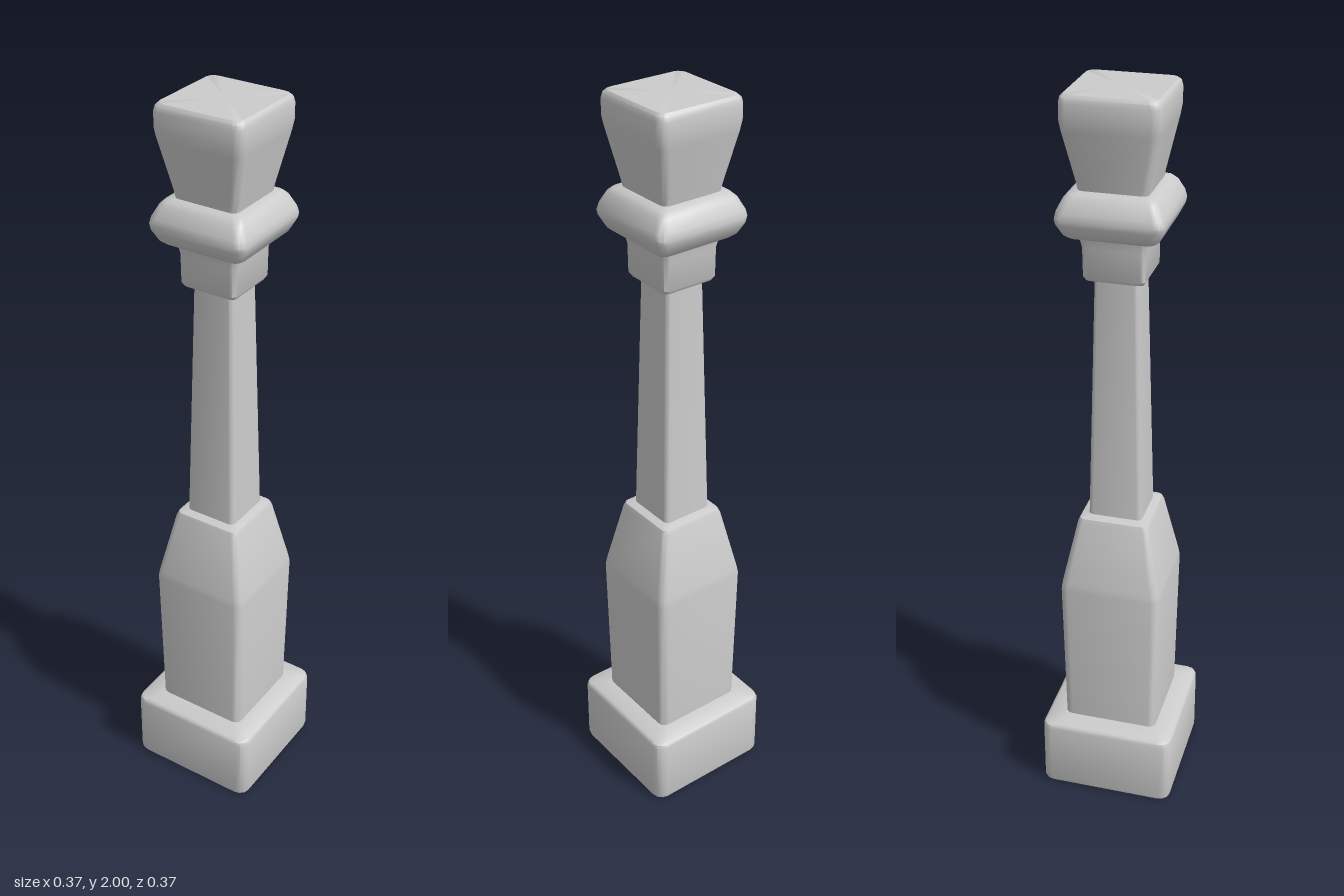
import * as THREE from 'three';
import { toCreasedNormals } from 'three/addons/utils/BufferGeometryUtils.js';

const material = new THREE.MeshStandardMaterial({ color: 0xcccccc });
const STEPS = 3; // facets per rounded corner

// Outline of a rounded square: half width h, corner radius r
function outline(h, r) {
  const points = [];
  for (let corner = 0; corner < 4; corner++) {
    const mid = (corner + 0.5) * Math.PI / 2;
    const cx = Math.sign(Math.cos(mid)) * (h - r);
    const cz = Math.sign(Math.sin(mid)) * (h - r);
    for (let s = 0; s <= STEPS; s++) {
      const a = (corner + s / STEPS) * Math.PI / 2;
      points.push([cx + r * Math.cos(a), cz + r * Math.sin(a)]);
    }
  }
  return points;
}

// Stack rounded squares along y; profile rows are [half width, height]
function squareTurned(name, profile, round) {
  const positions = [], index = [];
  const n = 4 * (STEPS + 1);
  for (const [h, y] of profile) {
    for (const [x, z] of outline(h, h * round)) positions.push(x, y, z);
  }
  for (let i = 0; i < profile.length - 1; i++) {
    for (let j = 0; j < n; j++) {
      const a = i * n + j, b = i * n + (j + 1) % n;
      index.push(a, a + n, b, b, a + n, b + n);
    }
  }
  // end caps
  const last = profile.length - 1;
  const bottom = positions.length / 3, top = bottom + 1;
  positions.push(0, profile[0][1], 0, 0, profile[last][1], 0);
  for (let j = 0; j < n; j++) {
    const k = (j + 1) % n;
    index.push(bottom, j, k, top, last * n + k, last * n + j);
  }
  const geometry = new THREE.BufferGeometry();
  geometry.setAttribute('position', new THREE.Float32BufferAttribute(positions, 3));
  geometry.setIndex(index);
  const mesh = new THREE.Mesh(toCreasedNormals(geometry, 0.65), material);
  mesh.name = name;
  return mesh;
}

export function createModel() {
  const group = new THREE.Group();
  group.name = 'baluster';
  group.add(
    squareTurned('plinth', [
      [0.179, 0], [0.185, 0.004], [0.187, 0.012], [0.187, 0.194],
      [0.184, 0.203], [0.177, 0.208], [0.128, 0.218],
    ], 0.16),
    squareTurned('lowerBlock', [
      [0.131, 0.2], [0.138, 0.645], [0.135, 0.665], [0.098, 0.845],
      [0.093, 0.857], [0.07, 0.865],
    ], 0.16),
    squareTurned('taperedShaft', [[0.073, 0.85], [0.056, 1.54]], 0.18),
    squareTurned('neck', [
      [0.055, 1.53], [0.074, 1.535], [0.08, 1.545], [0.081, 1.62], [0.088, 1.655],
    ], 0.18),
    squareTurned('collar', [
      [0.08, 1.645], [0.108, 1.653], [0.119, 1.662], [0.134, 1.692],
      [0.136, 1.705], [0.132, 1.722], [0.117, 1.752], [0.106, 1.763], [0.084, 1.768],
    ], 0.18),
    squareTurned('finial', [
      [0.086, 1.755], [0.091, 1.785], [0.119, 1.915], [0.123, 1.94],
      [0.123, 1.98], [0.12, 1.993], [0.113, 2],
    ], 0.18),
  );
  return group;
}
